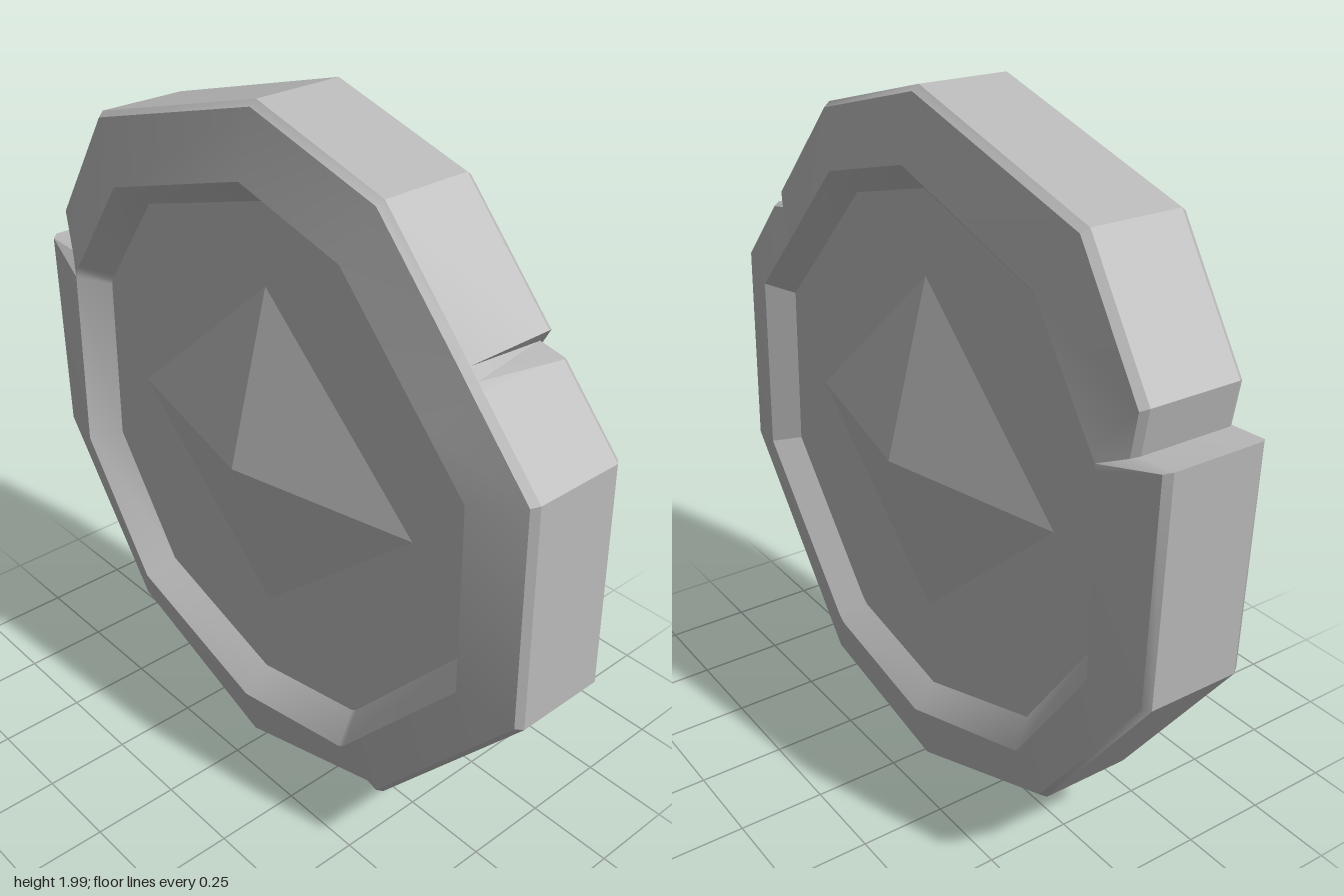
import * as THREE from 'three';
import { toCreasedNormals } from 'three/addons/utils/BufferGeometryUtils.js';

// Outline corners as [z, y], counter-clockwise seen from +x, each with its corner on the inner rim.
const corners = [
  { out: [0, 2], rim: [0, 1.81] },
  { out: [0.44, 1.88], rim: [0.36, 1.715] },
  { out: [0.72, 1.58], rim: [0.6, 1.466] }, // small nick, +x side only
  { out: [0.69, 1.54], outBack: [0.745, 1.552], rim: [0.625, 1.44] },
  { out: [0.77, 1.525], rim: [0.65, 1.415] },
  { out: [0.95, 1.33], rim: [0.785, 1.275] },
  { out: [0.97, 0.7], rim: [0.8, 0.74] },
  { out: [0.51, 0.15], rim: [0.41, 0.287] }, // small chip, -x side only
  { out: [0.48, 0.115], outBack: [0.475, 0.16], rim: [0.39, 0.272] },
  { out: [-0.03, 0.01], rim: [-0.02, 0.19] },
  { out: [-0.58, 0.225], rim: [-0.51, 0.355] },
  { out: [-0.95, 0.73], rim: [-0.78, 0.74] },
  { out: [-0.965, 1.355], rim: [-0.775, 1.295] }, // deep notch through the edge
  { out: [-0.86, 1.35], rim: [-0.772, 1.312] },
  { out: [-0.88, 1.47], rim: [-0.755, 1.335] },
  { out: [-0.66, 1.81], rim: [-0.54, 1.64] },
];

// Ring of points at a given x, shrunk about the disc centre
const ring = (pts, x, s = 1) => pts.map(([z, y]) => [x, 1 + (y - 1) * s, z * s]);

function discGeometry() {
  const rim = corners.map(c => c.rim);
  const front = corners.map(c => c.out);
  const back = corners.map(c => c.outBack ?? c.out);
  const rings = [
    ring(rim, -0.115, 0.915), ring(rim, -0.195), ring(back, -0.155, 0.985), ring(back, -0.135),
    ring(front, 0.128), ring(front, 0.148, 0.985), ring(rim, 0.182), ring(rim, 0.115, 0.915),
  ];
  const n = corners.length, pos = rings.flat(2), index = [];
  for (let r = 0; r < rings.length - 1; r++) {
    for (let i = 0; i < n; i++) {
      const j = (i + 1) % n, a = r * n, b = a + n;
      index.push(a + i, a + j, b + j, a + i, b + j, b + i);
    }
  }
  // Recessed floors on both sides
  const c0 = rings.length * n, c1 = c0 + 1, last = (rings.length - 1) * n;
  pos.push(-0.115, 1, 0, 0.115, 1, 0);
  for (let i = 0; i < n; i++) {
    const j = (i + 1) % n;
    index.push(c0, j, i, c1, last + i, last + j);
  }
  const g = new THREE.BufferGeometry();
  g.setAttribute('position', new THREE.Float32BufferAttribute(pos, 3));
  g.setIndex(index);
  return toCreasedNormals(g, 0.5);
}

// Low four-sided pyramid pointing along +x or -x
function pyramidGeometry(side) {
  const g = new THREE.ConeGeometry(1, 1, 4, 1, true).toNonIndexed();
  g.rotateZ(-side * Math.PI / 2);
  g.scale(0.126, 0.5, 0.56);
  g.translate(side * 0.177, 1.015, 0);
  g.computeVertexNormals();
  return g;
}

export function createModel() {
  const group = new THREE.Group();
  group.name = 'coin';
  const metal = new THREE.MeshStandardMaterial({ color: 0xb8b8b8 });
  metal.name = 'grey metal';
  const add = (name, geometry) => {
    const mesh = new THREE.Mesh(geometry, metal);
    mesh.name = name;
    group.add(mesh);
  };
  add('disc', discGeometry());
  add('leftPyramid', pyramidGeometry(1));
  add('rightPyramid', pyramidGeometry(-1));
  return group;
}
